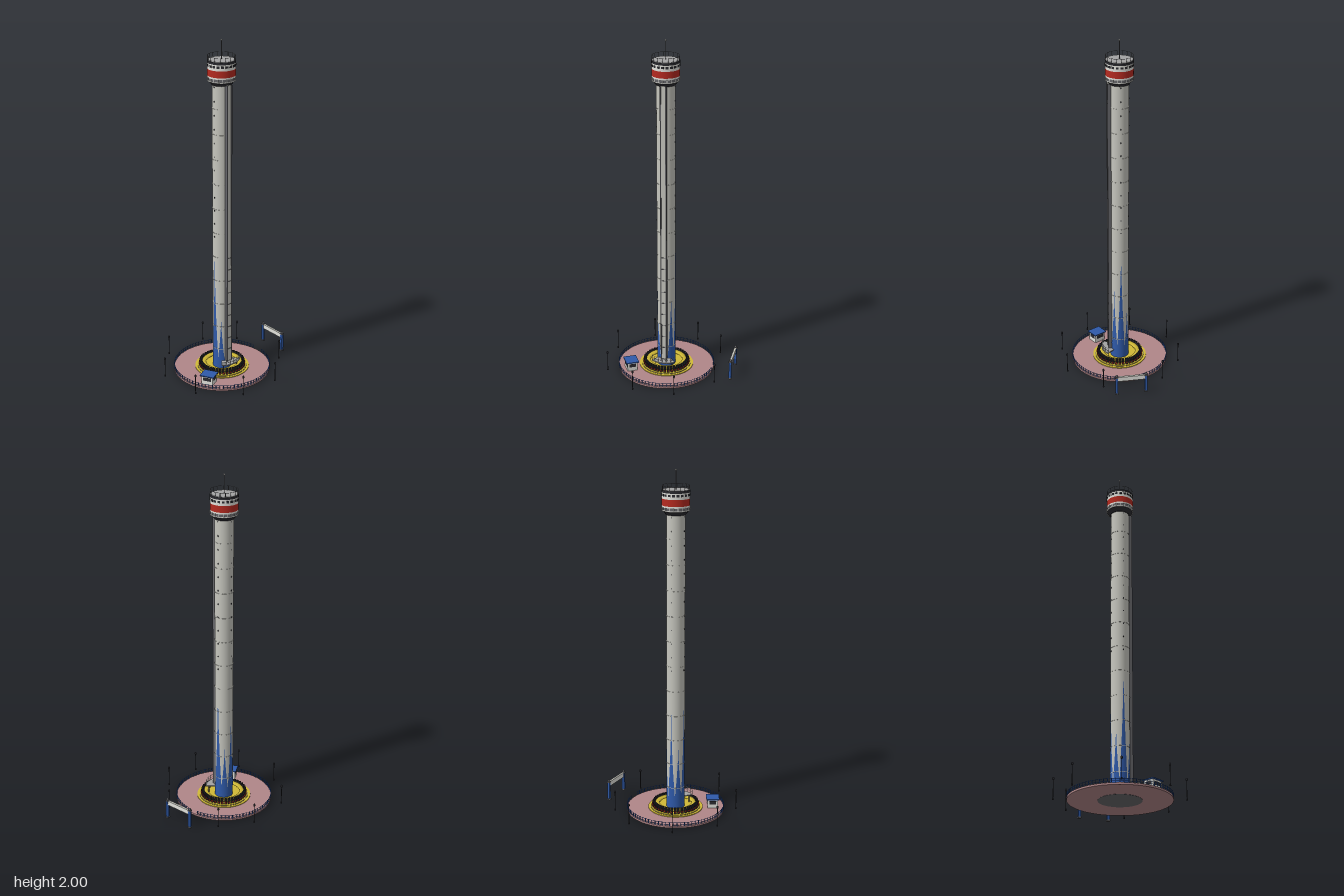
import * as THREE from 'three';

const mat = (name, color, side = THREE.FrontSide) => {
  const m = new THREE.MeshStandardMaterial({ color, side });
  m.name = name;
  return m;
};

export function createModel() {
  const M = {
    concrete: mat('concrete', 0xc6c6be),
    roof: mat('roof grey', 0xa3a3a3),
    dark: mat('dark metal', 0x2b2b30),
    grey: mat('mid grey', 0x66666a),
    white: mat('white', 0xe2e2dc),
    red: mat('red', 0xb52a20),
    blue: mat('blue', 0x2f5aaa, THREE.DoubleSide),
    yellow: mat('yellow', 0xd0b937),
    pink: mat('pink paving', 0xb08688),
  };
  const root = new THREE.Group();
  root.name = 'dropTowerRide';
  const ride = new THREE.Group(); // everything round shares this centre
  ride.name = 'ride';
  ride.position.z = 0.035;
  root.add(ride);

  const add = (name, geo, m, x = 0, y = 0, z = 0, parent = ride) => {
    const mesh = new THREE.Mesh(geo, m);
    mesh.name = name;
    mesh.position.set(x, y, z);
    parent.add(mesh);
    return mesh;
  };
  const box = (name, w, h, d, m, x, y, z, parent) =>
    add(name, new THREE.BoxGeometry(w, h, d), m, x, y, z, parent);
  // cylinder given by bottom and top heights
  const cyl = (name, r0, r1, y0, y1, m, seg = 48, x = 0, z = 0, parent = ride) =>
    add(name, new THREE.CylinderGeometry(r1, r0, y1 - y0, seg), m, x, (y0 + y1) / 2, z, parent);
  // horizontal rail along an arc; angle 0 is +x, growing towards +z
  const arcRail = (name, r, y, a0, a1, t, m) => {
    const mesh = add(name, new THREE.TorusGeometry(r, t, 5, 96, a1 - a0), m, 0, y, 0);
    mesh.rotation.set(Math.PI / 2, 0, a0);
    return mesh;
  };
  const around = (n, fn) => {
    for (let i = 0; i < n; i++) fn((i / n) * Math.PI * 2, i);
  };

  // Ground plate and boarding deck
  cyl('plaza', 0.285, 0.285, 0.001, 0.012, M.pink, 96);
  cyl('foundation', 0.12, 0.12, 0, 0.004, M.grey, 32);
  cyl('boardingDeck', 0.16, 0.16, 0.012, 0.016, M.yellow, 72);
  cyl('deckEdge', 0.1455, 0.1455, 0.016, 0.0175, M.grey, 72);
  cyl('innerDeck', 0.144, 0.144, 0.016, 0.02, M.yellow, 72);

  // Perimeter fence with an opening at the back
  const gap = 0.13, start = -Math.PI / 2 + gap, span = Math.PI * 2 - gap * 2;
  for (const y of [0.02, 0.034]) arcRail('fenceRail', 0.284, y, start, start + span, 0.0012, M.blue);
  for (let i = 0; i <= 80; i++) {
    const a = start + (span * i) / 80;
    box('fencePost', 0.003, 0.024, 0.003, M.blue, 0.284 * Math.cos(a), 0.024, 0.284 * Math.sin(a));
  }

  // Passenger carrier ring with outward seats
  const ring = [[0.095, 0.03], [0.118, 0.03], [0.118, 0.042], [0.095, 0.042], [0.095, 0.03]];
  add('carrierRing', new THREE.LatheGeometry(ring.map(p => new THREE.Vector2(...p)), 64), M.yellow);
  around(40, a => {
    const seat = new THREE.Group();
    seat.name = 'seat';
    seat.rotation.y = -a;
    ride.add(seat);
    box('seatBack', 0.006, 0.03, 0.014, M.dark, 0.122, 0.039, 0, seat);
    box('seatBase', 0.016, 0.006, 0.014, M.dark, 0.13, 0.027, 0, seat);
    box('seatHarness', 0.008, 0.012, 0.009, M.dark, 0.131, 0.044, 0, seat);
    box('seatCushion', 0.005, 0.008, 0.008, M.red, 0.136, 0.033, 0, seat);
  });

  // Tower shaft with section joints
  const R = 0.053;
  cyl('shaft', R, R, 0.012, 1.765, M.concrete, 48);
  for (let i = 1; i < 12; i++) {
    const y = i * 0.147;
    cyl('sectionJoint', R + 0.0015, R + 0.0015, y - 0.0015, y + 0.0015, M.concrete, 48);
  }

  // Pointed blue flames wrapped round the foot of the shaft
  const flame = (angle, height, half) => {
    const g = new THREE.PlaneGeometry(1, 1, 8, 16), p = g.attributes.position;
    for (let i = 0; i < p.count; i++) {
      const t = p.getY(i) + 0.5;
      const a = angle - p.getX(i) * 2 * half * Math.pow(1 - t, 1.7);
      p.setXYZ(i, (R + 0.0008) * Math.cos(a), 0.018 + t * (height - 0.018), (R + 0.0008) * Math.sin(a));
    }
    g.computeVertexNormals();
    add('blueFlame', g, M.blue);
  };
  const heights = [0.45, 0.36, 0.78, 0.42, 0.6, 0.38, 0.76, 0.5];
  heights.forEach((h, i) => flame((i * Math.PI) / 4, h, 0.52));

  // Marker lamps up the shaft
  for (const a of [Math.PI / 2, Math.PI, -Math.PI / 2])
    for (let y = 0.86; y < 1.75; y += 0.08)
      box('markerLamp', 0.004, 0.008, 0.004, M.dark, R * Math.cos(a), y, R * Math.sin(a));

  // Service channel with guide rails and rungs on the +x side
  box('serviceChannel', 0.016, 1.69, 0.028, M.concrete, 0.057, 0.91, 0);
  for (const s of [-1, 1]) {
    box('guideRail', 0.022, 1.69, 0.003, M.grey, 0.058, 0.91, s * 0.0165);
    box('guideEdge', 0.003, 1.69, 0.006, M.grey, 0.068, 0.91, s * 0.015);
  }
  for (let y = 0.15; y < 0.75; y += 0.073) box('rung', 0.003, 0.003, 0.028, M.grey, 0.066, y, 0);

  // Curved service platform with railing
  const plat = new THREE.Shape();
  plat.absarc(0, 0, 0.108, -0.7, 0.7, false);
  plat.absarc(0, 0, 0.05, 0.7, -0.7, true);
  const pg = new THREE.ExtrudeGeometry(plat, { depth: 0.006, bevelEnabled: false, curveSegments: 24 });
  add('servicePlatform', pg.rotateX(-Math.PI / 2), M.roof, 0, 0.064, 0);
  for (const y of [0.085, 0.1]) arcRail('platformRail', 0.106, y, -0.7, 0.7, 0.001, M.white);
  for (let i = 0; i <= 6; i++) {
    const a = -0.7 + (i * 1.4) / 6;
    box('platformPost', 0.002, 0.034, 0.002, M.white, 0.106 * Math.cos(a), 0.084, 0.106 * Math.sin(a));
  }
  for (const a of [-0.6, 0.6])
    box('platformLeg', 0.004, 0.046, 0.004, M.grey, 0.09 * Math.cos(a), 0.042, 0.09 * Math.sin(a));

  // Tower head: stacked coloured bands
  const C = 0.078;
  cyl('headTaper', 0.056, 0.074, 1.75, 1.772, M.dark);
  cyl('lowerBand', C, C, 1.772, 1.778, M.white);
  cyl('lowerWindows', C - 0.001, C - 0.001, 1.778, 1.793, M.grey);
  cyl('lowerTrim', C, C, 1.793, 1.802, M.white);
  cyl('redBand', C, C, 1.802, 1.84, M.red);
  cyl('upperBand', C, C, 1.84, 1.874, M.white);
  cyl('parapet', C + 0.001, C + 0.001, 1.874, 1.886, M.dark);
  cyl('roofDeck', 0.074, 0.074, 1.88, 1.888, M.roof);
  around(20, a => {
    const w = box('window', 0.003, 0.012, 0.015, M.dark, C * Math.cos(a), 1.861, C * Math.sin(a));
    w.rotation.y = -a;
    const l = box('windowMullion', 0.003, 0.016, 0.003, M.white, C * Math.cos(a), 1.786, C * Math.sin(a));
    l.rotation.y = -a;
  });

  // Roof railing and mast
  arcRail('roofRail', 0.076, 1.911, 0, Math.PI * 2, 0.0011, M.grey);
  around(16, a => box('roofRailPost', 0.0022, 0.027, 0.0022, M.grey, 0.076 * Math.cos(a), 1.898, 0.076 * Math.sin(a)));
  cyl('mast', 0.0025, 0.002, 1.885, 1.993, M.grey, 8);
  add('mastTip', new THREE.SphereGeometry(0.005, 12, 8), M.white, 0, 1.995, 0);

  // Operator booth
  const booth = new THREE.Group();
  booth.name = 'booth';
  booth.position.set(0.109, 0, 0.225);
  booth.rotation.y = 0.5;
  root.add(booth);
  box('boothWalls', 0.07, 0.052, 0.06, M.white, 0, 0.038, 0, booth);
  box('boothRoof', 0.085, 0.006, 0.076, M.blue, 0, 0.067, 0, booth);
  for (const s of [-1, 1]) {
    box('boothWindow', 0.05, 0.02, 0.002, M.dark, 0, 0.046, s * 0.03, booth);
    box('boothSideWindow', 0.002, 0.02, 0.04, M.dark, s * 0.035, 0.046, 0, booth);
  }

  // Street lamps
  const lamps = [[-0.205, -0.257], [0.15, -0.288], [-0.335, -0.088], [0.335, -0.088],
    [-0.323, 0.185], [0.335, 0.157], [-0.122, 0.369], [0.15, 0.358]];
  for (const [x, z] of lamps) {
    cyl('lampFoot', 0.005, 0.004, 0.005, 0.015, M.dark, 10, x, z, root);
    cyl('lampPole', 0.002, 0.002, 0.012, 0.118, M.dark, 8, x, z, root);
    add('lampHead', new THREE.SphereGeometry(0.0062, 12, 8), M.dark, x, 0.121, z, root).scale.y = 1.5;
  }

  // Entrance gate
  const gate = new THREE.Group();
  gate.name = 'entranceGate';
  gate.position.z = -0.37;
  root.add(gate);
  for (const s of [-1, 1]) {
    box('gatePost', 0.014, 0.108, 0.014, M.blue, s * 0.086, 0.062, 0, gate);
    box('gateFoot', 0.019, 0.008, 0.019, M.grey, s * 0.086, 0.008, 0, gate);
    box('gateCap', 0.019, 0.007, 0.019, M.grey, s * 0.086, 0.118, 0, gate);
    add('gateBall', new THREE.SphereGeometry(0.007, 12, 8), M.grey, s * 0.086, 0.126, 0, gate);
  }
  box('gateBeam', 0.158, 0.026, 0.01, M.white, 0, 0.104, 0, gate);
  box('gateBeamTop', 0.158, 0.003, 0.013, M.concrete, 0, 0.118, 0, gate);
  return root;
}
